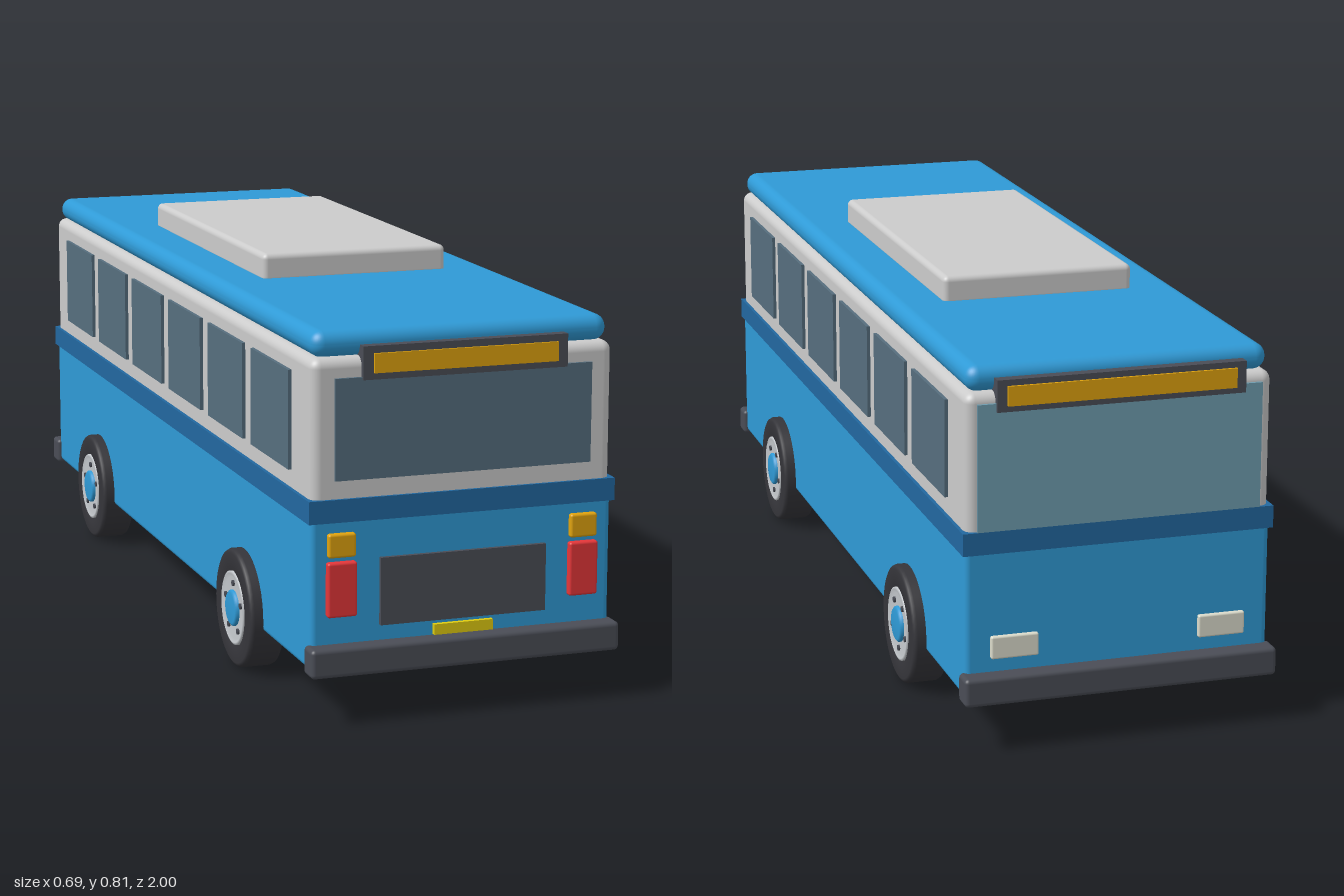
import * as THREE from 'three';
import { RoundedBoxGeometry } from 'three/addons/geometries/RoundedBoxGeometry.js';

const mat = (color) => new THREE.MeshStandardMaterial({ color });
const M = {
  blue: mat(0x2f9ad6), belt: mat(0x2268a0), white: mat(0xe6e6e6), glass: mat(0x566e7e),
  windshield: mat(0x6f9db0), dark: mat(0x4a4d56), amber: mat(0xe0a30e), red: mat(0xe53639),
  plate: mat(0xe0cc10), cream: mat(0xdcdccc), tyre: mat(0x35353a), rim: mat(0xc4c8cc),
};

export function createModel() {
  const bus = new THREE.Group();
  bus.name = 'bus';

  // Box given by its extents; r > 0 rounds the edges
  function box(name, material, [x0, x1], [y0, y1], [z0, z1], r = 0) {
    const s = [x1 - x0, y1 - y0, z1 - z0];
    const geo = r ? new RoundedBoxGeometry(...s, 4, r) : new THREE.BoxGeometry(...s);
    const mesh = new THREE.Mesh(geo, material);
    mesh.name = name;
    mesh.position.set((x0 + x1) / 2, (y0 + y1) / 2, (z0 + z1) / 2);
    bus.add(mesh);
    return mesh;
  }

  // Shell
  box('lowerBody', M.blue, [-0.311, 0.311], [0.1, 0.42], [-0.965, 0.965], 0.012);
  box('upperBody', M.white, [-0.309, 0.309], [0.4, 0.71], [-0.965, 0.965], 0.02);
  box('beltLine', M.belt, [-0.316, 0.316], [0.393, 0.438], [-0.971, 0.971]);
  box('roof', M.blue, [-0.303, 0.303], [0.708, 0.76], [-0.955, 0.955], 0.025);
  box('roofUnit', M.white, [-0.202, 0.202], [0.75, 0.811], [-0.448, 0.345], 0.012);

  // Side windows
  for (const side of [-1, 1]) {
    for (let i = 0; i < 6; i++) {
      const z = 0.73 - i * 0.2915;
      const x = [0.3 * side, 0.316 * side].sort((a, b) => a - b);
      box('sideWindow', M.glass, x, [0.474, 0.67], [z - 0.118, z + 0.118]);
    }
  }

  // Bumpers
  for (const side of [-1, 1]) {
    const z = [0.95 * side, side].sort((a, b) => a - b);
    box('bumper', M.dark, [-0.32, 0.32], [0.095, 0.153], z, 0.009);
  }

  // Front end
  box('frontWindow', M.glass, [-0.263, 0.263], [0.474, 0.672], [0.95, 0.971]);
  box('frontSignFrame', M.dark, [-0.209, 0.209], [0.667, 0.732], [0.94, 0.976]);
  box('frontSign', M.amber, [-0.188, 0.188], [0.68, 0.718], [0.96, 0.981]);
  box('grille', M.dark, [-0.171, 0.171], [0.184, 0.318], [0.95, 0.974]);
  box('numberPlate', M.plate, [-0.061, 0.061], [0.155, 0.176], [0.95, 0.975]);
  for (const side of [-1, 1]) {
    const c = 0.25 * side;
    box('amberLight', M.amber, [c - 0.028, c + 0.028], [0.325, 0.372], [0.95, 0.977], 0.005);
    box('redLight', M.red, [c - 0.03, c + 0.03], [0.208, 0.316], [0.95, 0.979], 0.005);
  }

  // Back end
  box('backWindow', M.windshield, [-0.287, 0.287], [0.438, 0.69], [-0.971, -0.95]);
  box('backSignFrame', M.dark, [-0.25, 0.25], [0.674, 0.737], [-0.977, -0.94]);
  box('backSign', M.amber, [-0.23, 0.23], [0.686, 0.725], [-0.982, -0.96]);
  for (const side of [-1, 1]) {
    const c = 0.212 * side;
    box('backLight', M.cream, [c - 0.048, c + 0.048], [0.18, 0.226], [-0.974, -0.95], 0.004);
  }

  // Wheels: built along +y, then turned to face outwards
  const lathe = (pts) => new THREE.LatheGeometry(pts.map((p) => new THREE.Vector2(...p)), 40);
  const tyreGeo = lathe([
    [0, -0.034], [0.1, -0.037], [0.113, -0.037], [0.119, -0.034], [0.122, -0.028],
    [0.122, 0.028], [0.119, 0.034], [0.113, 0.037], [0.08, 0.037], [0.075, 0.028], [0, 0.028],
  ]);
  const rimGeo = lathe([[0.076, 0.025], [0.076, 0.037], [0.071, 0.039], [0.064, 0.034], [0, 0.034]]);
  const capGeo = lathe([[0.037, 0.03], [0.037, 0.039], [0.032, 0.043], [0, 0.043]]);
  const lugGeo = new THREE.CylinderGeometry(0.006, 0.006, 0.008, 10);

  function makeWheel() {
    const wheel = new THREE.Group();
    wheel.name = 'wheel';
    const add = (name, geo, material) => {
      const mesh = new THREE.Mesh(geo, material);
      mesh.name = name;
      wheel.add(mesh);
      return mesh;
    };
    add('tyre', tyreGeo, M.tyre);
    add('rim', rimGeo, M.rim);
    add('hubCap', capGeo, M.blue);
    for (let i = 0; i < 5; i++) {
      const a = (i / 5) * Math.PI * 2;
      add('wheelNut', lugGeo, M.dark).position.set(Math.cos(a) * 0.052, 0.034, Math.sin(a) * 0.052);
    }
    return wheel;
  }
  for (const side of [-1, 1]) {
    for (const z of [0.553, -0.572]) {
      const wheel = makeWheel();
      wheel.rotation.z = (-side * Math.PI) / 2;
      wheel.position.set(0.3 * side, 0.122, z);
      bus.add(wheel);
    }
  }
  return bus;
}
